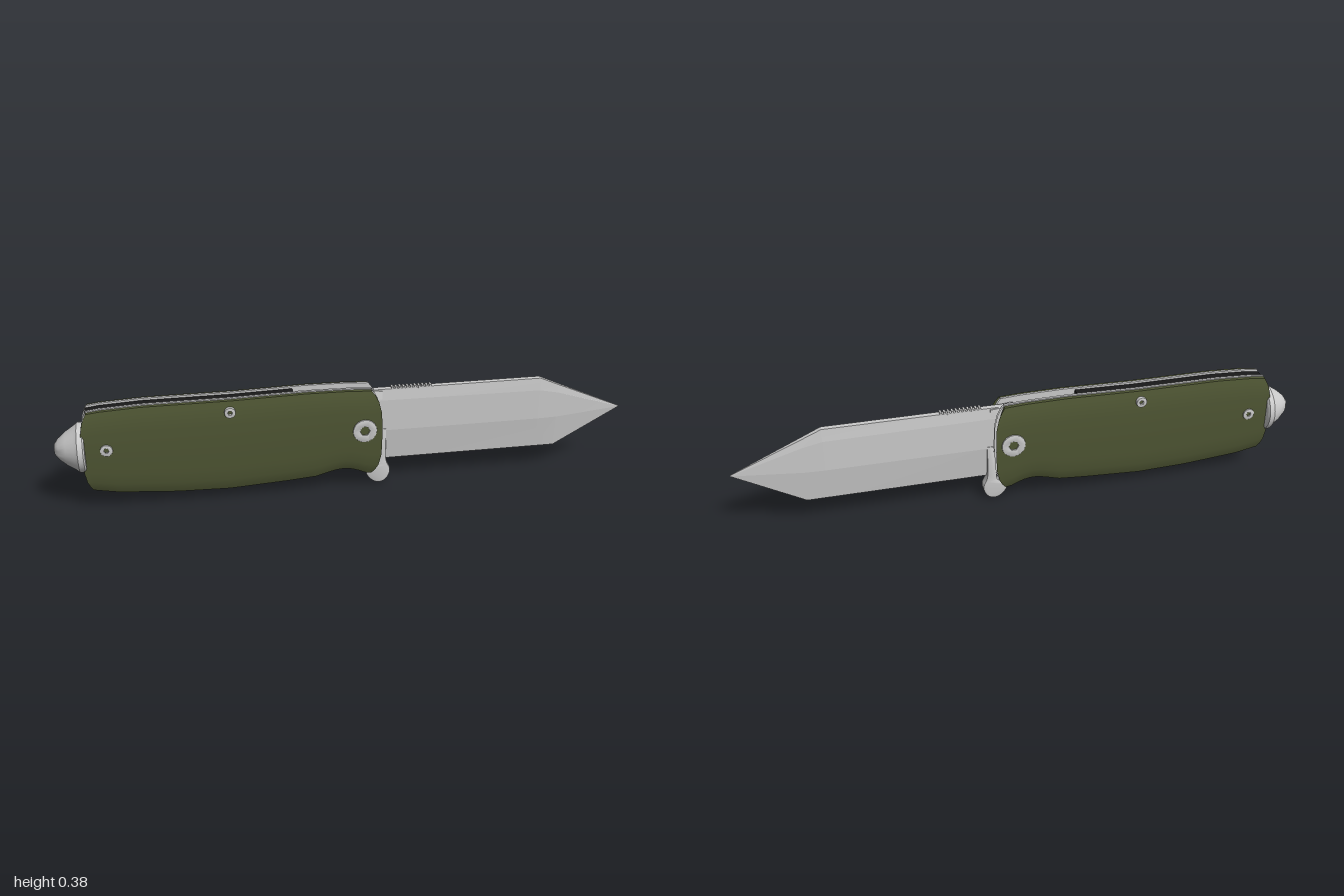
import * as THREE from 'three';
import { toCreasedNormals } from 'three/addons/utils/BufferGeometryUtils.js';

const steel = new THREE.MeshStandardMaterial({ color: 0xcccccc });
const green = new THREE.MeshStandardMaterial({ color: 0x4e5533 });
const black = new THREE.MeshStandardMaterial({ color: 0x191919 });

function part(group, name, geometry, material) {
  const mesh = new THREE.Mesh(geometry, material);
  mesh.name = name;
  group.add(mesh);
  return mesh;
}

// Closed solid through rings of [x, y, z] points, running towards +x
function loft(rings, crease) {
  const n = rings[0].length, last = (rings.length - 1) * n, index = [];
  for (let i = 0; i < rings.length - 1; i++) {
    for (let j = 0; j < n; j++) {
      const a = i * n + j, b = i * n + (j + 1) % n;
      index.push(a, a + n, b + n, a, b + n, b);
    }
  }
  for (let j = 1; j < n - 1; j++) {
    index.push(0, j, j + 1, last, last + j + 1, last + j);
  }
  const g = new THREE.BufferGeometry();
  g.setAttribute('position', new THREE.Float32BufferAttribute(rings.flat(2), 3));
  g.setIndex(index);
  return toCreasedNormals(g, crease);
}

// Flat plate centred on z = 0
function plate(shape, thickness, bevel = 0) {
  const depth = thickness - 2 * bevel;
  const g = new THREE.ExtrudeGeometry(shape, {
    depth, bevelEnabled: bevel > 0, bevelThickness: bevel, bevelSize: bevel,
    bevelOffset: -bevel, bevelSegments: 2, curveSegments: 10,
  });
  return toCreasedNormals(g.translate(0, 0, -depth / 2), 0.6);
}

const polygon = (pts) => new THREE.Shape(pts.map((p) => new THREE.Vector2(...p)));

// Height of a polyline at x
function heightAt(pts, x) {
  let i = 0;
  while (i < pts.length - 2 && x > pts[i + 1][0]) i++;
  const [x0, y0] = pts[i], [x1, y1] = pts[i + 1];
  return THREE.MathUtils.lerp(y0, y1, THREE.MathUtils.clamp((x - x0) / (x1 - x0), 0, 1));
}

// Handle outline, shared by scales, liners and spacer
const TOP = [[-0.9, 0.357], [-0.84, 0.365], [-0.7, 0.372], [-0.4, 0.372], [-0.15, 0.378], [0, 0.376], [0.1, 0.37]];
const BOTTOM = [[-0.9, 0.082], [-0.8, 0.063], [-0.6, 0.047], [-0.42, 0.042], [-0.22, 0.053], [-0.12, 0.061],
  [-0.06, 0.078], [-0.02, 0.084], [0.02, 0.076], [0.06, 0.058], [0.1, 0.055]];

// Half of the handle: section lists [height fraction, z]
function handleSide(section, side, grow) {
  const rings = [], steps = 44;
  for (let i = 0; i <= steps; i++) {
    const ring = section.map(([v, z]) => {
      const k = Math.abs(2 * v - 1) ** 4;
      const x = THREE.MathUtils.lerp(-0.906 + 0.024 * k, 0.112 - 0.036 * k, i / steps);
      const lo = heightAt(BOTTOM, x) - grow, hi = heightAt(TOP, x) + grow;
      return [x, lo + (hi - lo) * v, z * side];
    });
    rings.push(side > 0 ? ring : ring.reverse());
  }
  return loft(rings, 0.5);
}

const SCALE = [[0, 0.03], [0, 0.044], [0.05, 0.05], [0.12, 0.055], [0.25, 0.057], [0.5, 0.058],
  [0.75, 0.057], [0.88, 0.053], [0.95, 0.048], [1, 0.044], [1, 0.03]];
const FRACTIONS = [0, 0.05, 0.12, 0.25, 0.5, 0.75, 0.88, 0.95, 1];
const LINER = [...FRACTIONS.map((v) => [v, 0.03]), ...FRACTIONS.map((v) => [v, 0.02]).reverse()];

// Round screw head with a six-sided socket, axis along z
function screw(group, name, x, y, radius, base, top, side) {
  const g = new THREE.Group();
  g.name = name;
  const ring = new THREE.Shape().absarc(0, 0, radius, 0, Math.PI * 2);
  const socket = new THREE.Path();
  for (let i = 0; i < 6; i++) {
    const a = -i * Math.PI / 3, r = radius * 0.42;
    socket[i ? 'lineTo' : 'moveTo'](r * Math.cos(a), r * Math.sin(a));
  }
  socket.closePath();
  ring.holes.push(socket);
  part(g, 'screwHead', plate(ring, top - base, 0.002), steel).position.z = (top + base) / 2;
  const floor = new THREE.CylinderGeometry(radius * 0.6, radius * 0.6, 0.004, 16).rotateX(Math.PI / 2);
  part(g, 'screwSocket', floor, steel).position.z = base + 0.002;
  g.position.set(x, y, 0);
  if (side < 0) g.rotation.y = Math.PI;
  group.add(g);
}

export function createModel() {
  const model = new THREE.Group();
  model.name = 'foldingKnife';

  // Handle halves with their screws
  for (const side of [1, -1]) {
    const half = new THREE.Group();
    half.name = side > 0 ? 'frontHandle' : 'backHandle';
    part(half, 'scale', handleSide(SCALE, side, 0), green);
    part(half, 'liner', handleSide(LINER, side, 0.004), steel);
    screw(half, 'pivotScrew', 0.05, 0.23, 0.042, 0.053, 0.0625, side);
    screw(half, 'bodyScrew', -0.41, 0.335, 0.019, 0.048, 0.063, side);
    screw(half, 'bodyScrew', -0.825, 0.23, 0.021, 0.053, 0.063, side);
    const washer = new THREE.CylinderGeometry(0.07, 0.07, 0.006, 28).rotateX(Math.PI / 2);
    part(half, 'washer', washer, steel).position.set(0.03, 0.23, side * 0.017);
    model.add(half);
  }

  // Back spacer, turning down at the rear
  const spacerTop = [-0.885, -0.84, -0.7, -0.4, -0.19].map((x) => [x, heightAt(TOP, x) - 0.003]);
  part(model, 'backSpacer', plate(polygon([...spacerTop, [-0.19, 0.325], [-0.8, 0.32], [-0.85, 0.28],
    [-0.85, 0.14], [-0.895, 0.14], [-0.9, 0.3]].reverse()), 0.04), black);

  // Blade: edge, ridge, upper ridge and spine at each station
  const bladeRings = [
    [0.09, [0.09, 0.205, 0.32, 0.36], 0.015],
    [0.69, [0.09, 0.205, 0.315, 0.36], 0.014],
    [0.76, [0.09, 0.206, 0.3, 0.329], 0.012],
    [0.998, [0.223, 0.224, 0.225, 0.226], 0.002],
  ].map(([x, [edge, ridge, upper, spine], z]) => [
    [x, edge, -z * 0.08], [x, edge, z * 0.08], [x, ridge, z], [x, upper, z], [x, spine, z * 0.7],
    [x, spine, -z * 0.7], [x, upper, -z], [x, ridge, -z],
  ]);
  part(model, 'blade', loft(bladeRings, 0.02), steel);

  // Tang inside the handle
  part(model, 'tang', plate(polygon([[-0.05, 0.11], [0.1, 0.1], [0.12, 0.12], [0.12, 0.355], [0.04, 0.362],
    [-0.05, 0.35], [-0.09, 0.3], [-0.09, 0.16]]), 0.029, 0.002), steel);

  // Thumb ridges on the spine
  for (let i = 0; i < 11; i++) {
    const ridge = part(model, 'thumbRidge', new THREE.BoxGeometry(0.007, 0.01, 0.022), steel);
    ridge.position.set(0.155 + i * 0.0135, 0.361, 0);
  }

  // Flipper tab
  const tab = new THREE.Shape();
  tab.moveTo(0.134, 0.212);
  tab.lineTo(0.112, 0.212);
  tab.lineTo(0.1, 0.08);
  tab.quadraticCurveTo(0.085, 0.06, 0.06, 0.055);
  tab.quadraticCurveTo(0.066, 0.018, 0.1, 0.003);
  tab.quadraticCurveTo(0.125, -0.002, 0.14, 0.018);
  tab.quadraticCurveTo(0.155, 0.04, 0.147, 0.062);
  tab.quadraticCurveTo(0.132, 0.085, 0.134, 0.12);
  tab.closePath();
  part(model, 'flipperTab', plate(tab, 0.035, 0.004), steel);

  // Pointed pommel at the rear
  const profile = [[0, 0], [0.05, 0], [0.05, 0.015], [0.078, 0.015], [0.086, 0.02], [0.086, 0.038], [0.076, 0.05],
    [0.058, 0.078], [0.036, 0.104], [0.018, 0.117], [0, 0.12]].map((p) => new THREE.Vector2(...p));
  const pommel = new THREE.LatheGeometry(profile, 28).rotateZ(Math.PI / 2);
  part(model, 'pommel', toCreasedNormals(pommel, 0.5), steel).position.set(-0.88, 0.222, 0);

  return model;
}
